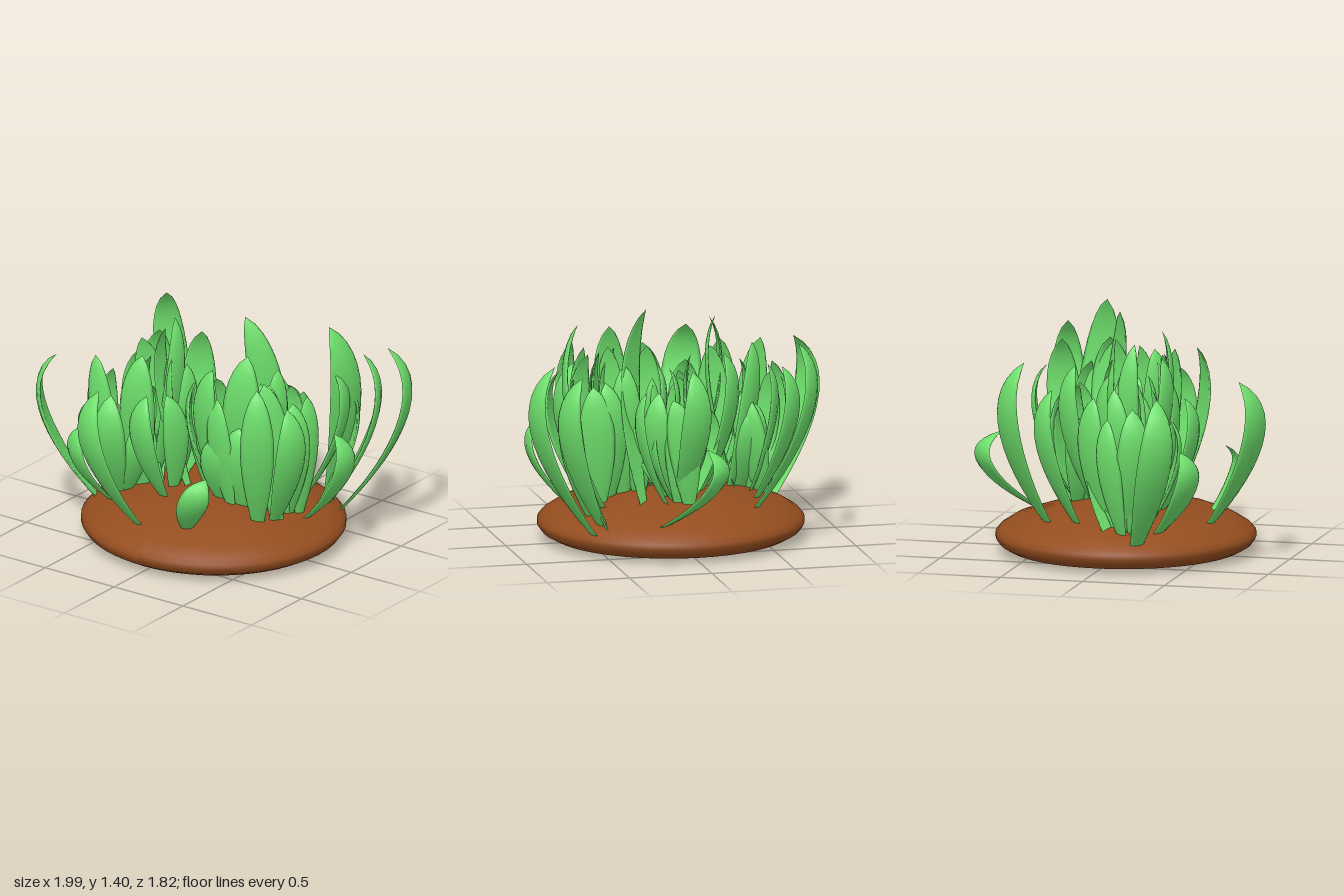
import * as THREE from 'three';

const soil = new THREE.MeshStandardMaterial({ color: 0x944d1f });
soil.name = 'soil brown';
const leaf = new THREE.MeshStandardMaterial({ color: 0x6ee06c, side: THREE.DoubleSide });
leaf.name = 'leaf green';

// Mound profile: radius, height
const profile = [
  [0, 0], [0.45, 0], [0.62, 0.01], [0.71, 0.025], [0.765, 0.055], [0.79, 0.09], [0.79, 0.12], [0.765, 0.15],
  [0.69, 0.195], [0.56, 0.24], [0.43, 0.28], [0.3, 0.305], [0.16, 0.31], [0, 0.31],
].map(([r, y]) => new THREE.Vector2(r, y));

// Height of the soil at a given radius
function groundY(r) {
  for (let i = 6; i < profile.length - 1; i++) {
    const a = profile[i], b = profile[i + 1];
    if (r >= b.x) return THREE.MathUtils.mapLinear(Math.min(r, a.x), b.x, a.x, b.y, a.y);
  }
  return 0.31;
}

function makeMound() {
  const geo = new THREE.LatheGeometry(profile, 48);
  const p = geo.attributes.position;
  // Gentle lumps on the upper surface
  for (let i = 0; i < p.count; i++) {
    const x = p.getX(i), y = p.getY(i), z = p.getZ(i);
    if (y > 0.16) p.setY(i, y + 0.012 * Math.sin(7 * x + 1) * Math.cos(8 * z) * Math.min(1, (y - 0.16) * 10));
    p.setZ(i, z * 0.97);
  }
  geo.computeVertexNormals();
  const mound = new THREE.Mesh(geo, soil);
  mound.name = 'soilMound';
  return mound;
}

// Curved leaf: base (bx, bz), farthest point (ox, oz), tip height, width, sideways sweep of the tip
function makeBlade([bx, bz, ox, oz, top, width, sweep = 0]) {
  const rows = 14, sides = 10;
  const out = new THREE.Vector3(ox - bx, 0, oz - bz);
  const r = out.length();
  out.normalize();
  const side = new THREE.Vector3(out.z, 0, -out.x);
  const y0 = groundY(Math.hypot(bx, bz)) - 0.03;
  const h = top - y0;
  const at = (f, y, s) => new THREE.Vector3(bx, y0 + h * y, bz).addScaledVector(out, r * f).addScaledVector(side, s);
  const path = new THREE.CubicBezierCurve3(
    at(0, 0, 0), at(0.75, 0.33, sweep * 0.1), at(1.45, 0.8, sweep * 0.4), at(0.7, 1, sweep));
  const pos = [], index = [];
  for (let i = 0; i <= rows; i++) {
    const t = i / rows;
    const c = path.getPoint(t), T = path.getTangent(t);
    const N = new THREE.Vector3().crossVectors(T, side).normalize();
    const S = new THREE.Vector3().crossVectors(N, T);
    const k = Math.pow(Math.max(0, Math.sin(Math.PI * (0.08 + 0.92 * Math.pow(t, 1.25)))), 0.72);
    const w = width * 0.5 * k, thick = width * 0.08 * k;
    for (let j = 0; j < sides; j++) {
      const a = (j / sides) * Math.PI * 2, ca = Math.cos(a);
      const v = c.clone().addScaledVector(S, w * ca).addScaledVector(N, thick * Math.sin(a) + w * 0.15 * ca * ca);
      pos.push(v.x, v.y, v.z);
      if (i < rows) {
        const p = i * sides + j, q = i * sides + (j + 1) % sides;
        index.push(p, q, p + sides, q, q + sides, p + sides);
      }
    }
  }
  const geo = new THREE.BufferGeometry();
  geo.setAttribute('position', new THREE.Float32BufferAttribute(pos, 3));
  geo.setIndex(index);
  geo.computeVertexNormals();
  return new THREE.Mesh(geo, leaf);
}

// Leaves standing on the rim of the tuft
const rightLeaves = [
  [0.52, -0.42, 0.78, -0.57, 1.12, 0.21, 0.05],
  [0.58, -0.46, 0.97, -0.60, 1.2, 0.2, 0.02],
  [0.50, -0.46, 0.74, -0.40, 1.38, 0.24, -0.14],
  [0.58, -0.12, 0.89, -0.10, 0.8, 0.2],
  [0.50, 0.08, 0.70, 0.18, 1.0, 0.2],
  [0.45, 0.18, 0.56, 0.34, 1.14, 0.2],
  [0.15, 0.48, 0.25, 0.63, 0.6, 0.18, 0.12],
  [0.46, -0.2, 0.74, -0.30, 1.15, 0.21],
  [0.50, -0.05, 0.62, 0.04, 0.98, 0.2],
  [0.55, -0.26, 0.72, -0.44, 1.0, 0.17],
];
const leftLeaves = [
  [-0.15, 0.55, -0.26, 0.88, 1.1, 0.24, -0.06],
  [-0.17, 0.26, -0.20, 0.47, 0.97, 0.2],
  [-0.67, 0.24, -0.96, 0.42, 1.08, 0.21, 0.05],
  [-0.50, 0.32, -0.62, 0.55, 0.72, 0.21],
  [-0.52, 0.24, -0.45, 0.44, 0.9, 0.2],
  [-0.42, 0.14, -0.38, 0.28, 1.13, 0.22, 0.04],
  [-0.42, -0.36, -0.70, -0.57, 1.23, 0.2, 0.08],
  [-0.47, -0.17, -0.66, -0.34, 1.06, 0.2],
  [-0.55, 0.16, -0.72, 0.24, 0.98, 0.2],
  [-0.48, 0.0, -0.62, -0.06, 1.02, 0.2],
  [-0.58, 0.2, -0.70, 0.36, 0.8, 0.18],
];
const middleLeaves = [
  [0.20, -0.58, -0.08, -0.87, 0.69, 0.2, 0.05],
  [0.24, -0.30, 0.35, -0.18, 1.4, 0.2, -0.2],
  [0.26, 0.04, 0.31, 0.19, 1.26, 0.24, 0.05],
  [0.02, -0.30, -0.03, -0.55, 1.1, 0.19],
  [-0.14, -0.14, -0.31, -0.28, 1.15, 0.2],
  [-0.40, 0.04, -0.24, 0.08, 1.32, 0.15, 0.06],
  [-0.12, 0.08, -0.32, 0.07, 1.29, 0.14, 0.05],
  [-0.20, 0.0, -0.28, 0.08, 1.13, 0.22],
  [0.12, 0.06, 0.10, 0.21, 1.12, 0.19],
  [0.08, -0.22, 0.18, -0.37, 0.95, 0.17],
  [-0.06, -0.02, -0.07, 0.08, 0.95, 0.17],
];

// Inner clumps: centre x, z, spread x, z, count
const clumps = [
  [-0.52, 0.15, 0.11, 0.13, 8], [0.24, 0.02, 0.22, 0.13, 20],
  [0.03, -0.27, 0.11, 0.12, 8], [0.46, -0.03, 0.1, 0.16, 6], [-0.26, 0.06, 0.12, 0.1, 5],
];

let seed = 11;
function rand() {
  seed = (seed * 16807) % 2147483647;
  return seed / 2147483647;
}

export function createModel() {
  seed = 11;
  const group = new THREE.Group();
  group.name = 'leafyTuft';
  group.add(makeMound());

  const sets = { rightLeaves, leftLeaves, middleLeaves, innerLeaves: [] };
  for (const [cx, cz, sx, sz, n] of clumps) {
    for (let i = 0; i < n; i++) {
      // Even spiral scatter with a loosely outward lean
      const a = i * 2.4, d = Math.sqrt((i + 0.5) / n);
      const bx = cx + Math.cos(a) * sx * d, bz = cz + Math.sin(a) * sz * d;
      const reach = 0.08 + 0.1 * rand(), lean = a + (rand() - 0.5) * 2.4;
      sets.innerLeaves.push([
        bx, bz, bx + Math.cos(lean) * reach, bz + Math.sin(lean) * reach,
        0.7 + 0.45 * rand(), 0.15 + 0.06 * rand(), (rand() - 0.5) * 0.2]);
    }
  }
  for (const [name, rows] of Object.entries(sets)) {
    const set = new THREE.Group();
    set.name = name;
    rows.forEach((row, i) => {
      const blade = makeBlade(row);
      blade.name = 'leaf' + (i + 1);
      set.add(blade);
    });
    group.add(set);
  }
  return group;
}
